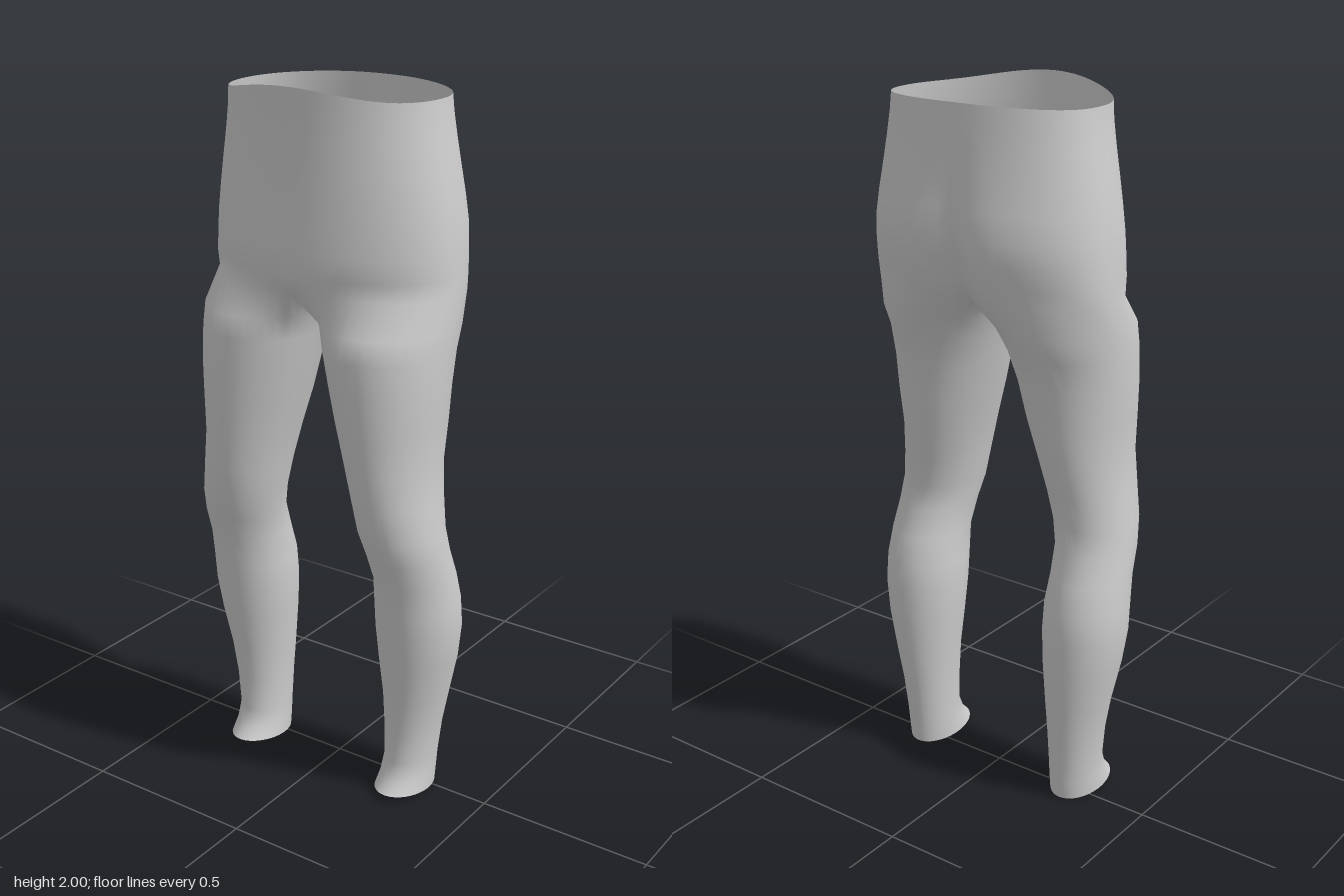
import * as THREE from 'three';
import { mergeGeometries, mergeVertices } from 'three/addons/utils/BufferGeometryUtils.js';

const OUTER = 30; // segments from front centre, round the outside, to back centre
const INNER = 10; // segments along the inner thigh
const CORNER = 0.87; // angle where the inner thigh begins

// leg sections: y, inner x, outer x, front z, back z
const LEG = [
  [0.01, 0.185, 0.335, 0.155, -0.065],
  [0.05, 0.188, 0.333, 0.125, -0.07],
  [0.1, 0.19, 0.333, 0.103, -0.073],
  [0.2, 0.187, 0.343, 0.105, -0.083],
  [0.3, 0.181, 0.361, 0.113, -0.095],
  [0.42, 0.17, 0.387, 0.132, -0.104],
  [0.52, 0.164, 0.4, 0.147, -0.106],
  [0.6, 0.166, 0.398, 0.157, -0.1],
  [0.68, 0.173, 0.392, 0.17, -0.078],
  [0.76, 0.166, 0.388, 0.197, -0.046],
  [0.83, 0.15, 0.38, 0.218, -0.037],
  [0.92, 0.133, 0.367, 0.23, -0.052],
  [1.02, 0.11, 0.357, 0.238, -0.072],
  [1.13, 0.078, 0.364, 0.244, -0.092],
  [1.23, 0.053, 0.369, 0.248, -0.105],
  [1.32, 0.028, 0.371, 0.248, -0.13],
  [1.385, 0.01, 0.371, 0.244, -0.165],
];

// pelvis sections: y, half width, front z, back z, depth of the rear cleft
const PELVIS = [
  [1.47, 0.368, 0.222, -0.205, 0.3],
  [1.52, 0.366, 0.24, -0.223, 0.24],
  [1.58, 0.362, 0.241, -0.238, 0.19],
  [1.64, 0.357, 0.24, -0.246, 0.14],
  [1.71, 0.347, 0.239, -0.238, 0.1],
  [1.78, 0.335, 0.239, -0.226, 0.06],
  [1.86, 0.32, 0.24, -0.218, 0.03],
  [1.92, 0.31, 0.243, -0.213, 0.015],
  [1.965, 0.305, 0.248, -0.21, 0.01],
];

function legRing([y, xIn, xOut, zF, zB], hem) {
  const ring = [];
  const span = Math.PI + 2 * CORNER;
  for (let j = 0; j < OUTER + INNER; j++) {
    const a = j <= OUTER
      ? -CORNER + (span * j) / OUTER
      : -CORNER + span + ((2 * Math.PI - span) * (j - OUTER)) / INNER;
    const x = (xIn + xOut) / 2 + ((xOut - xIn) / 2) * Math.sin(a);
    const z = (zF + zB) / 2 + ((zF - zB) / 2) * Math.cos(a);
    ring.push([x, y + (hem ? 0.01 * Math.cos(a) : 0), z]);
  }
  return ring;
}

function pelvisRing([y, w, zF, zB, cleft], rim) {
  const ring = [];
  for (let j = 0; j <= OUTER; j++) {
    const t = (Math.PI * j) / OUTER;
    const c = Math.cos(t);
    const x = j === OUTER ? 0 : w * Math.sin(t);
    const z = c > 0
      ? zF * Math.pow(c, 0.95)
      : zB * Math.pow(-c, 0.85) * (1 - cleft * Math.exp(-((x / 0.06) ** 2)));
    const lift = rim ? (c > 0 ? 0.035 * c ** 4 : 0.01 * c * c) : 0;
    ring.push([x, y + lift, z]);
  }
  return ring;
}

function buildHalf(side) {
  const legs = LEG.map((row, i) => legRing(row, i === 0));
  const hips = PELVIS.map((row, i) => pelvisRing(row, i === PELVIS.length - 1));

  // crotch ring: lowest pelvis outline closed by a sagging seam on the centre plane
  const front = hips[0][0], back = hips[0][OUTER];
  const crotch = hips[0].slice();
  for (let k = 1; k < INNER; k++) {
    const s = k / INNER;
    const z = THREE.MathUtils.lerp(back[2], front[2], s);
    crotch.push([0, 1.47 - 0.065 * Math.sin(Math.PI * s), z]);
  }
  legs.push(crotch);

  const position = [], index = [];
  const loft = (rings, closed) => {
    const base = position.length / 3, n = rings[0].length;
    rings.forEach((r) => r.forEach(([x, y, z]) => position.push(side * x, y, z)));
    for (let i = 0; i < rings.length - 1; i++) {
      for (let j = 0; j < (closed ? n : n - 1); j++) {
        const k = (j + 1) % n;
        const a = base + i * n + j, b = base + i * n + k;
        const c = b + n, d = a + n;
        if (side > 0) index.push(a, b, c, a, c, d);
        else index.push(a, c, b, a, d, c);
      }
    }
  };
  loft(legs, true);
  loft(hips, false);

  const geometry = new THREE.BufferGeometry();
  geometry.setAttribute('position', new THREE.Float32BufferAttribute(position, 3));
  geometry.setIndex(index);
  return geometry;
}

export function createModel() {
  const group = new THREE.Group();
  group.name = 'leggings';
  const fabric = new THREE.MeshStandardMaterial({ color: 0xcccccc, side: THREE.DoubleSide });
  fabric.name = 'light grey fabric';

  // both halves welded along the centre seam for smooth shading
  const geometry = mergeVertices(mergeGeometries([buildHalf(1), buildHalf(-1)]), 1e-4);
  geometry.computeVertexNormals();
  const mesh = new THREE.Mesh(geometry, fabric);
  mesh.name = 'legsAndWaist';
  group.add(mesh);
  return group;
}
